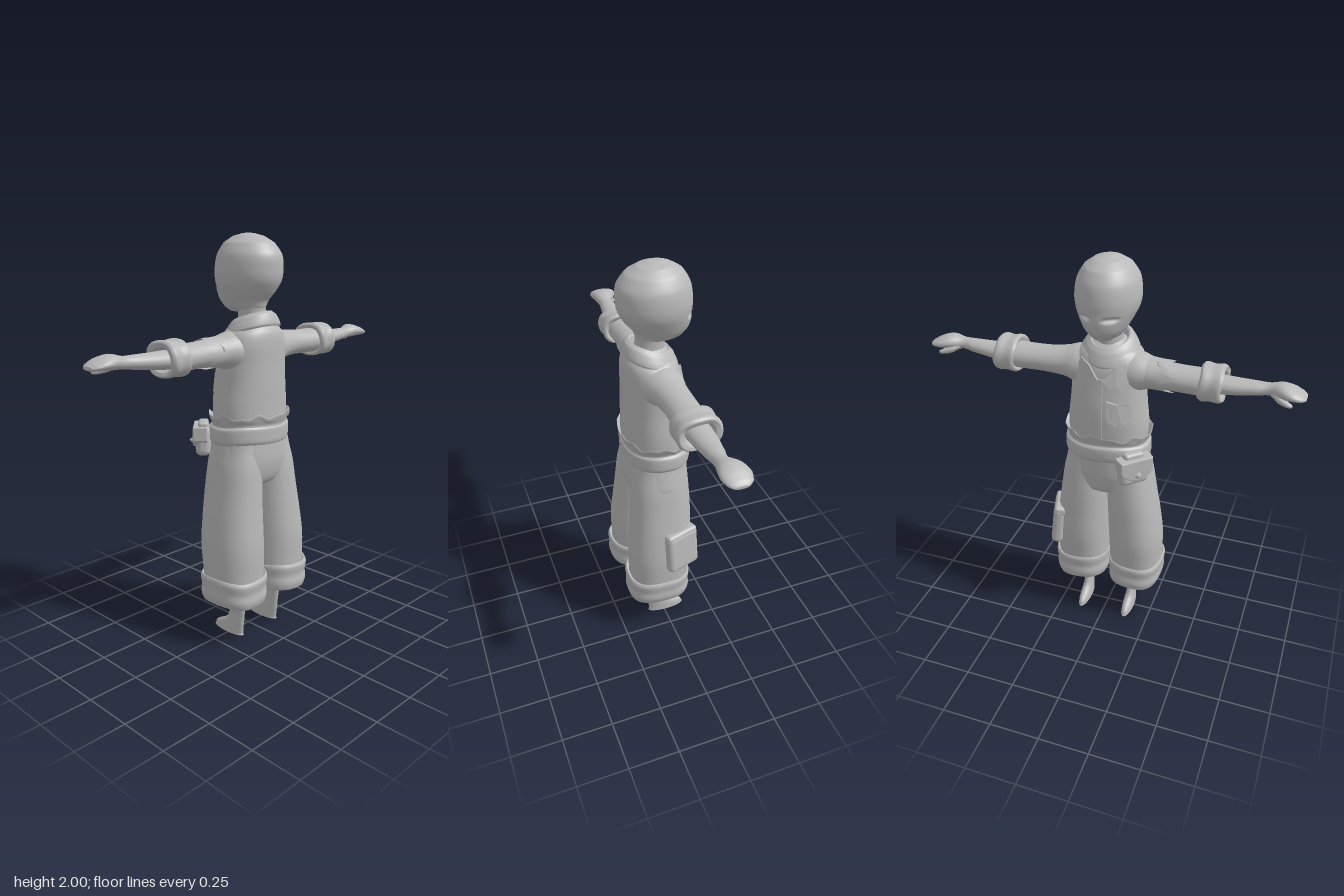
import * as THREE from 'three';
import { RoundedBoxGeometry } from 'three/addons/geometries/RoundedBoxGeometry.js';

const clay = new THREE.MeshStandardMaterial({ color: 0xb8b8b8, side: THREE.DoubleSide });
clay.name = 'clay grey';

// Catmull-Rom between key rows; the position along the axis stays linear
function keyAt(keys, i, f) {
  const k = (j) => keys[Math.min(Math.max(j, 0), keys.length - 1)];
  return keys[i].map((_, c) => {
    const p0 = k(i - 1)[c], p1 = k(i)[c], p2 = k(i + 1)[c], p3 = k(i + 2)[c];
    if (c === 0) return p1 + (p2 - p1) * f;
    const v = p1 + 0.5 * f * (p2 - p0 + f * (2 * p0 - 5 * p1 + 4 * p2 - p3 + f * (3 * (p1 - p2) + p3 - p0)));
    return c > 2 ? Math.max(v, 0.0005) : v;
  });
}

// Skin of elliptical rings. Row: [along, centreA, centreB, radiusA, radiusB]
// axis 'y': A = x, B = z.  axis 'x': A = y, B = z, with side mirroring x.
function loft(keys, { axis = 'y', side = 1, seg = 32, steps = 4, square = 1, warp } = {}) {
  const pos = [], idx = [], rows = (keys.length - 1) * steps + 1;
  const pow = (v) => Math.sign(v) * Math.pow(Math.abs(v), square);
  const centre = new THREE.Vector3();
  for (let r = 0; r < rows; r++) {
    const i = Math.min(Math.floor(r / steps), keys.length - 2);
    const [t, a, b, ra, rb] = keyAt(keys, i, r / steps - i);
    for (let s = 0; s < seg; s++) {
      const ang = (s / seg) * Math.PI * 2;
      const p = a + ra * pow(Math.cos(ang)), q = b + rb * pow(Math.sin(ang));
      const v = axis === 'y' ? new THREE.Vector3(p * 1, t, q) : new THREE.Vector3(t * side, p, q);
      if (warp) warp(v, ang);
      pos.push(v.x, v.y, v.z);
      centre.add(v);
      if (r < rows - 1) {
        const A = r * seg + s, B = r * seg + (s + 1) % seg;
        idx.push(A, A + seg, B, B, A + seg, B + seg);
      }
    }
  }
  centre.divideScalar(rows * seg);
  // turn the faces outward
  const at = (n) => new THREE.Vector3().fromArray(pos, n * 3).sub(centre);
  let volume = 0;
  for (let n = 0; n < idx.length; n += 3) volume += at(idx[n]).dot(at(idx[n + 1]).cross(at(idx[n + 2])));
  if (volume < 0) idx.reverse();
  const g = new THREE.BufferGeometry();
  g.setAttribute('position', new THREE.Float32BufferAttribute(pos, 3));
  g.setIndex(idx);
  g.computeVertexNormals();
  return g;
}

const torsoKeys = [
  [1.09, 0, 0.012, 0.197, 0.15], [1.2, 0, 0.01, 0.197, 0.15], [1.3, 0, 0.012, 0.186, 0.148],
  [1.4, 0, 0.018, 0.18, 0.14], [1.48, 0, 0.024, 0.178, 0.134], [1.54, 0, 0.032, 0.155, 0.12],
  [1.58, 0, 0.035, 0.11, 0.095], [1.61, 0, 0.03, 0.06, 0.06],
];
// Depth of the chest surface at a point
function chestZ(x, y) {
  let i = 0;
  while (i < torsoKeys.length - 2 && torsoKeys[i + 1][0] < y) i++;
  const f = (y - torsoKeys[i][0]) / (torsoKeys[i + 1][0] - torsoKeys[i][0]);
  const [, , b, ra, rb] = keyAt(torsoKeys, i, Math.min(f, 1));
  return b - rb * Math.sqrt(Math.max(0.05, 1 - (x / ra) ** 2));
}
// Lay a flat part onto the chest
function onChest(g) {
  const p = g.attributes.position;
  for (let i = 0; i < p.count; i++) p.setZ(i, p.getZ(i) + chestZ(p.getX(i), p.getY(i)));
  g.computeVertexNormals();
  return g;
}
function clothPiece(points, depth) {
  const shape = new THREE.Shape(points.map(([x, y]) => new THREE.Vector2(x, y)));
  const g = new THREE.ExtrudeGeometry(new THREE.Shape(shape.getSpacedPoints(40)),
    { depth, bevelEnabled: false });
  return onChest(g.translate(0, 0, 0.004 - depth));
}

export function createModel() {
  const model = new THREE.Group();
  model.name = 'figure';
  const add = (name, g, parent = model) => {
    const m = new THREE.Mesh(g, clay);
    m.name = name;
    parent.add(m);
    return m;
  };

  // Head, facing -z, with narrow sunken eyes
  add('head', loft([
    [1.632, 0, -0.02, 0.001, 0.001], [1.635, 0, -0.02, 0.045, 0.085], [1.655, 0, -0.022, 0.076, 0.113],
    [1.69, 0, -0.028, 0.1, 0.132], [1.73, 0, -0.016, 0.122, 0.154], [1.78, 0, -0.002, 0.144, 0.169],
    [1.83, 0, 0.002, 0.15, 0.174], [1.9, 0, 0.006, 0.14, 0.166], [1.955, 0, 0.003, 0.108, 0.13],
    [1.985, 0, 0, 0.066, 0.08], [1.998, 0, 0, 0.025, 0.03], [2, 0, 0, 0.001, 0.001],
  ], {
    seg: 72, steps: 7, warp: (v) => {
      if (v.z > -0.05) return;
      const ex = (Math.abs(v.x) - 0.06) / 0.03, ey = (v.y - 1.758) / 0.008;
      v.z += 0.022 * Math.exp(-(ex ** 4) - ey * ey);
    },
  }));
  add('neck', loft([[1.54, 0, 0.035, 0.075, 0.075], [1.6, 0, 0.025, 0.065, 0.07],
    [1.66, 0, 0.022, 0.066, 0.07], [1.72, 0, 0.02, 0.085, 0.09]]));

  // Shirt body, collar, lapels, button strip and chest pocket
  add('shirtBody', loft(torsoKeys, { seg: 48, square: 0.9 }));
  add('collar', loft([[1.55, 0, 0.028, 0.072, 0.075], [1.6, 0, 0.028, 0.082, 0.084],
    [1.608, 0, 0.027, 0.092, 0.094], [1.59, 0, 0.027, 0.113, 0.113], [1.545, 0, 0.025, 0.14, 0.13],
    [1.53, 0, 0.025, 0.138, 0.128], [1.535, 0, 0.025, 0.12, 0.112]],
  { seg: 48, warp: (v) => { v.y += 0.32 * v.z; } }));
  for (const s of [1, -1]) {
    add('lapel', clothPiece([[0.012, 1.45], [0.06, 1.51], [0.11, 1.53], [0.135, 1.47], [0.115, 1.395],
      [0.075, 1.425], [0.05, 1.4]].map(([x, y]) => [x * s, y]), 0.016));
  }
  add('buttonStrip', onChest(new THREE.BoxGeometry(0.045, 0.33, 0.012, 4, 14, 1).translate(0.01, 1.285, 0)));
  add('chestPocket', clothPiece([[-0.035, 1.35], [-0.085, 1.335], [-0.14, 1.35], [-0.145, 1.26],
    [-0.125, 1.235], [-0.06, 1.235], [-0.037, 1.26]], 0.016));

  // Waist: ragged flared top edge and rolled band
  add('waistband', loft([[1.12, 0, 0.01, 0.19, 0.148], [1.15, 0, 0.01, 0.212, 0.16], [1.155, 0, 0.01, 0.219, 0.166],
    [1.14, 0, 0.01, 0.216, 0.164], [1.105, 0, 0.008, 0.2, 0.153], [1.092, 0, 0.006, 0.212, 0.163],
    [1.06, 0, 0.005, 0.215, 0.164], [1.03, 0, 0.006, 0.214, 0.162], [1.015, 0, 0.008, 0.205, 0.154],
    [1.01, 0, 0.01, 0.19, 0.145]], {
    seg: 64, square: 0.92, warp: (v, a) => {
      if (v.y > 1.125) v.y += 0.008 * Math.sin(a * 7) + 0.006 * Math.sin(a * 13 + 1);
      else v.y += 0.005 * Math.sin(a * 3 + 1);
    },
  }));

  // Trousers
  add('trouserSeat', loft([[0.765, 0, 0.015, 0.001, 0.001], [0.775, 0, 0.015, 0.09, 0.06],
    [0.82, 0, 0.015, 0.2, 0.125], [0.9, 0, 0.015, 0.226, 0.148], [0.96, 0, 0.014, 0.216, 0.152],
    [1.04, 0, 0.01, 0.2, 0.15]], { seg: 48, square: 0.92 }));
  for (const s of [1, -1]) {
    const leg = new THREE.Group();
    leg.name = s > 0 ? 'leftLeg' : 'rightLeg';
    model.add(leg);
    add('trouserLeg', loft([[0.28, 0.147 * s, 0.042, 0.136, 0.15], [0.36, 0.147 * s, 0.04, 0.138, 0.152],
      [0.5, 0.146 * s, 0.032, 0.138, 0.162], [0.65, 0.136 * s, 0.024, 0.131, 0.156],
      [0.78, 0.124 * s, 0.018, 0.122, 0.15], [0.9, 0.113 * s, 0.016, 0.114, 0.142],
      [1.02, 0.1 * s, 0.01, 0.1, 0.13]], { square: 0.88 }), leg);
    add('trouserCuff', loft([[0.34, 0.147 * s, 0.044, 0.125, 0.14], [0.355, 0.148 * s, 0.044, 0.14, 0.158],
      [0.335, 0.15 * s, 0.045, 0.146, 0.166], [0.29, 0.15 * s, 0.045, 0.141, 0.16],
      [0.25, 0.15 * s, 0.045, 0.143, 0.165], [0.215, 0.148 * s, 0.045, 0.134, 0.157],
      [0.212, 0.147 * s, 0.045, 0.118, 0.14], [0.25, 0.147 * s, 0.045, 0.1, 0.125],
      [0.27, 0.14 * s, 0.045, 0.001, 0.001]],
    { square: 0.8, seg: 40, warp: (v, a) => { v.y += 0.005 * Math.sin(a * 3 + s); } }), leg);
    // Bare shin and foot, toes towards -z
    add('shinAndFoot', loft([[0.36, 0.127 * s, 0.05, 0.032, 0.052], [0.2, 0.127 * s, 0.05, 0.029, 0.052],
      [0.12, 0.126 * s, 0.043, 0.023, 0.05], [0.075, 0.126 * s, 0.03, 0.025, 0.058],
      [0.035, 0.126 * s, -0.006, 0.028, 0.09], [0.01, 0.126 * s, -0.014, 0.029, 0.096],
      [0, 0.126 * s, -0.014, 0.027, 0.093], [0, 0.126 * s, -0.014, 0.001, 0.001]], { seg: 24 }), leg);
  }

  // Leg pocket with flap on the outer side
  const legPocket = new THREE.Group();
  legPocket.name = 'legPocket';
  legPocket.position.set(0.262, 0.555, -0.047);
  legPocket.rotation.set(0, 0.3, 0.1);
  add('pocketBag', new RoundedBoxGeometry(0.06, 0.22, 0.185, 4, 0.026), legPocket).position.y = -0.005;
  add('pocketFlap', new RoundedBoxGeometry(0.062, 0.05, 0.18, 3, 0.018), legPocket).position.set(-0.004, 0.088, 0);
  model.add(legPocket);

  // Belt pouch with flap, strap and diamond clasp
  const pouch = new THREE.Group();
  pouch.name = 'beltPouch';
  pouch.position.set(-0.172, 1.015, -0.142);
  pouch.rotation.y = -Math.PI * 0.75;
  add('pouchBag', new RoundedBoxGeometry(0.155, 0.145, 0.075, 4, 0.03), pouch).position.y = -0.003;
  const flap = new THREE.Shape();
  flap.moveTo(-0.08, 0.065).lineTo(0.08, 0.065).lineTo(0.08, 0.01)
    .quadraticCurveTo(0.06, -0.025, 0, -0.035).quadraticCurveTo(-0.06, -0.025, -0.08, 0.01);
  add('pouchFlap', new THREE.ExtrudeGeometry(flap, { depth: 0.06, bevelSize: 0.005, bevelThickness: 0.006, bevelSegments: 2 }), pouch)
    .position.z = -0.016;
  add('pouchStrap', new RoundedBoxGeometry(0.1, 0.045, 0.05, 3, 0.015), pouch).position.set(0, 0.07, 0);
  add('pouchClasp', new THREE.OctahedronGeometry(0.02), pouch).position.set(0, -0.008, 0.05);
  model.add(pouch);

  // Arms: sleeve, rolled cuff, forearm with hand, thumb
  for (const s of [1, -1]) {
    const arm = new THREE.Group();
    arm.name = s > 0 ? 'leftArm' : 'rightArm';
    model.add(arm);
    const opt = { axis: 'x', side: s };
    add('sleeve', loft([[0.09, 1.46, 0.015, 0.095, 0.1], [0.15, 1.46, 0.012, 0.092, 0.1],
      [0.21, 1.462, 0.006, 0.073, 0.084], [0.3, 1.461, 0, 0.063, 0.076], [0.4, 1.459, 0, 0.061, 0.077],
      [0.5, 1.459, 0, 0.063, 0.08]], opt), arm);
    add('sleeveCuff', loft([[0.46, 1.46, 0.002, 0.05, 0.065], [0.447, 1.462, 0.002, 0.074, 0.092],
      [0.46, 1.463, 0.002, 0.085, 0.104], [0.5, 1.462, 0.002, 0.08, 0.1], [0.54, 1.463, 0.002, 0.083, 0.105],
      [0.555, 1.462, 0.002, 0.073, 0.093], [0.548, 1.46, 0.002, 0.054, 0.07], [0.51, 1.46, 0.002, 0.04, 0.055]],
    { ...opt, square: 0.88, warp: (v, a) => { v.x += 0.005 * Math.sin(a * 3 + 1); } }), arm);
    add('forearmAndHand', loft([[0.48, 1.458, 0.002, 0.045, 0.062], [0.6, 1.462, 0.001, 0.038, 0.055],
      [0.7, 1.468, 0.002, 0.032, 0.042], [0.755, 1.473, 0.003, 0.028, 0.034],
      [0.81, 1.48, -0.008, 0.034, 0.056], [0.86, 1.476, -0.012, 0.027, 0.066],
      [0.9, 1.468, -0.012, 0.017, 0.053], [0.918, 1.464, -0.01, 0.009, 0.032],
      [0.92, 1.464, -0.01, 0.001, 0.001]], opt), arm);
    add('thumb', loft([[0.765, 1.462, -0.02, 0.012, 0.016], [0.8, 1.452, -0.042, 0.018, 0.021],
      [0.84, 1.441, -0.058, 0.014, 0.017], [0.862, 1.437, -0.063, 0.008, 0.01],
      [0.866, 1.437, -0.063, 0.001, 0.001]], { ...opt, seg: 16 }), arm);
  }
  // Torn edge on the right sleeve
  add('tornSleeveEdge', loft([[0.2, 1.463, 0.006, 0.074, 0.086], [0.25, 1.462, 0.004, 0.072, 0.084],
    [0.3, 1.462, 0.001, 0.072, 0.085]], {
    axis: 'x', side: -1, seg: 40,
    warp: (v, a) => { if (v.x < -0.26) v.x -= 0.02 * Math.sin(a * 4) + 0.012 * Math.sin(a * 9 + 1); },
  }));
  return model;
}
